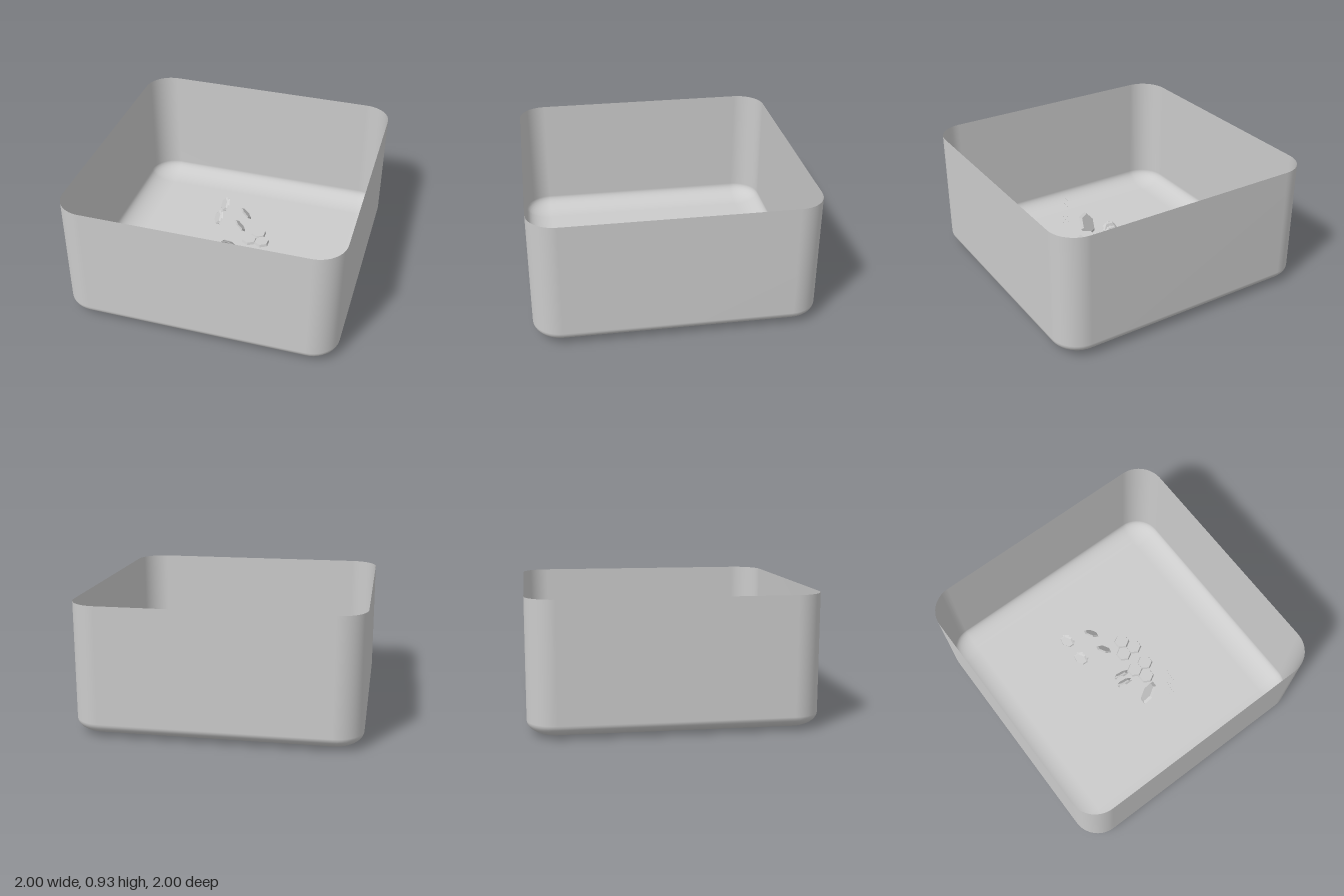
import * as THREE from 'three';
import { mergeVertices } from 'three/addons/utils/BufferGeometryUtils.js';

const R = 0.2, RISE = 0.1, HEIGHT = 0.93, STEPS = 10;

// Open basin: rounded-square loops stacked along a filleted profile
function basinGeometry() {
  const profile = [];
  for (let i = 0; i <= STEPS; i++) {
    const t = (i / STEPS) * Math.PI / 2;
    profile.push([R * Math.sin(t), RISE * (1 - Math.cos(t))]);
  }
  profile.push([R, HEIGHT]);

  const positions = [], index = [];
  const n = 4 * (STEPS + 1);
  for (const [r, y] of profile) {
    for (let corner = 0; corner < 4; corner++) {
      const mid = (corner + 0.5) * Math.PI / 2;
      const cx = Math.sign(Math.cos(mid)) * (1 - R);
      const cz = Math.sign(Math.sin(mid)) * (1 - R);
      for (let k = 0; k <= STEPS; k++) {
        const a = (corner + k / STEPS) * Math.PI / 2;
        positions.push(cx + r * Math.cos(a), y, cz + r * Math.sin(a));
      }
    }
  }
  const centre = positions.length / 3;
  positions.push(0, 0, 0);
  for (let j = 0; j < n; j++) {
    const k = (j + 1) % n;
    index.push(centre, j, k);
    for (let i = 0; i < profile.length - 1; i++) {
      const a = i * n + j, b = i * n + k;
      index.push(a, a + n, b, b, a + n, b + n);
    }
  }
  let geometry = new THREE.BufferGeometry();
  geometry.setAttribute('position', new THREE.Float32BufferAttribute(positions, 3));
  geometry.setIndex(index);
  geometry = mergeVertices(geometry, 1e-5);
  geometry.computeVertexNormals();
  return geometry;
}

export function createModel() {
  const model = new THREE.Group();
  const smooth = new THREE.MeshStandardMaterial({ color: 0xcccccc, side: THREE.DoubleSide });
  const flat = new THREE.MeshStandardMaterial({ color: 0xcccccc, flatShading: true });

  const add = (name, geometry, material, x, y, z, parent = model) => {
    const mesh = new THREE.Mesh(geometry, material);
    mesh.name = name;
    mesh.position.set(x, y, z);
    parent.add(mesh);
    return mesh;
  };

  add('basin', basinGeometry(), smooth, 0, 0, 0);

  // Flat clusters of three hexagonal tiles
  const tile = new THREE.CylinderGeometry(0.055, 0.062, 0.02, 6);
  const clusters = [
    [[0.15, -0.155], [0.1, -0.06], [0.2, -0.06]],
    [[0.09, 0.1], [0.19, 0.1], [0.13, 0.195]],
  ];
  for (const cluster of clusters) {
    const group = new THREE.Group();
    group.name = 'hexTileCluster';
    for (const [x, z] of cluster) add('hexTile', tile, flat, x, 0.12, z, group);
    model.add(group);
  }

  // Tilted bevelled plates: centre, long axis in x/z, size, slope, layers
  const plate = new THREE.CylinderGeometry(0.8, 1, 0.16, 6);
  const shards = [
    { at: [-0.21, 0.16, -0.405], axis: [0.5, 0.85], size: 0.062, slope: -1.1, layers: 2 },
    { at: [-0.21, 0.16, -0.22], axis: [0.5, 0.85], size: 0.062, slope: -1.1, layers: 2 },
    { at: [-0.01, 0.15, -0.35], axis: [0.5, 0.85], size: 0.064, slope: 0.85, layers: 1 },
    { at: [-0.01, 0.15, -0.18], axis: [0.5, 0.85], size: 0.064, slope: 0.85, layers: 1 },
    { at: [-0.03, 0.15, 0.07], axis: [1, 0.1], size: 0.065, slope: 1.1, layers: 2 },
    { at: [-0.05, 0.15, 0.135], axis: [1, 0.1], size: 0.065, slope: 1.1, layers: 2 },
    { at: [0.05, 0.14, 0.32], axis: [0.84, -0.54], size: 0.1, slope: 1.05, layers: 1 },
  ];
  for (const { at, axis, size, slope, layers } of shards) {
    const group = new THREE.Group();
    group.name = 'shard';
    group.position.set(...at);
    const along = new THREE.Vector3(axis[0], 0, axis[1]).normalize();
    const across = new THREE.Vector3(along.z, 0, -along.x);
    const normal = new THREE.Vector3(0, Math.cos(slope), 0).addScaledVector(across, Math.sin(slope));
    const side = new THREE.Vector3().crossVectors(normal, along);
    group.quaternion.setFromRotationMatrix(new THREE.Matrix4().makeBasis(side, normal, along));
    for (let i = 0; i < layers; i++) {
      const layer = add('shardPlate', plate, flat, 0, -0.2 * size * i, 0, group);
      layer.scale.setScalar(size);
      layer.rotation.y = i * 0.5;
    }
    model.add(group);
  }

  // Tiny chips scattered along a slanting strip
  const chip = new THREE.OctahedronGeometry(0.004);
  for (let i = 0; i < 16; i++) {
    const t = i / 15;
    const off = ((i * 7) % 5 - 2) * 0.006;
    add('chip', chip, flat, 0.18 + 0.06 * t + off, i % 2 ? 0.35 : 0.19, 0.45 - 0.12 * t + off);
  }
  return model;
}
